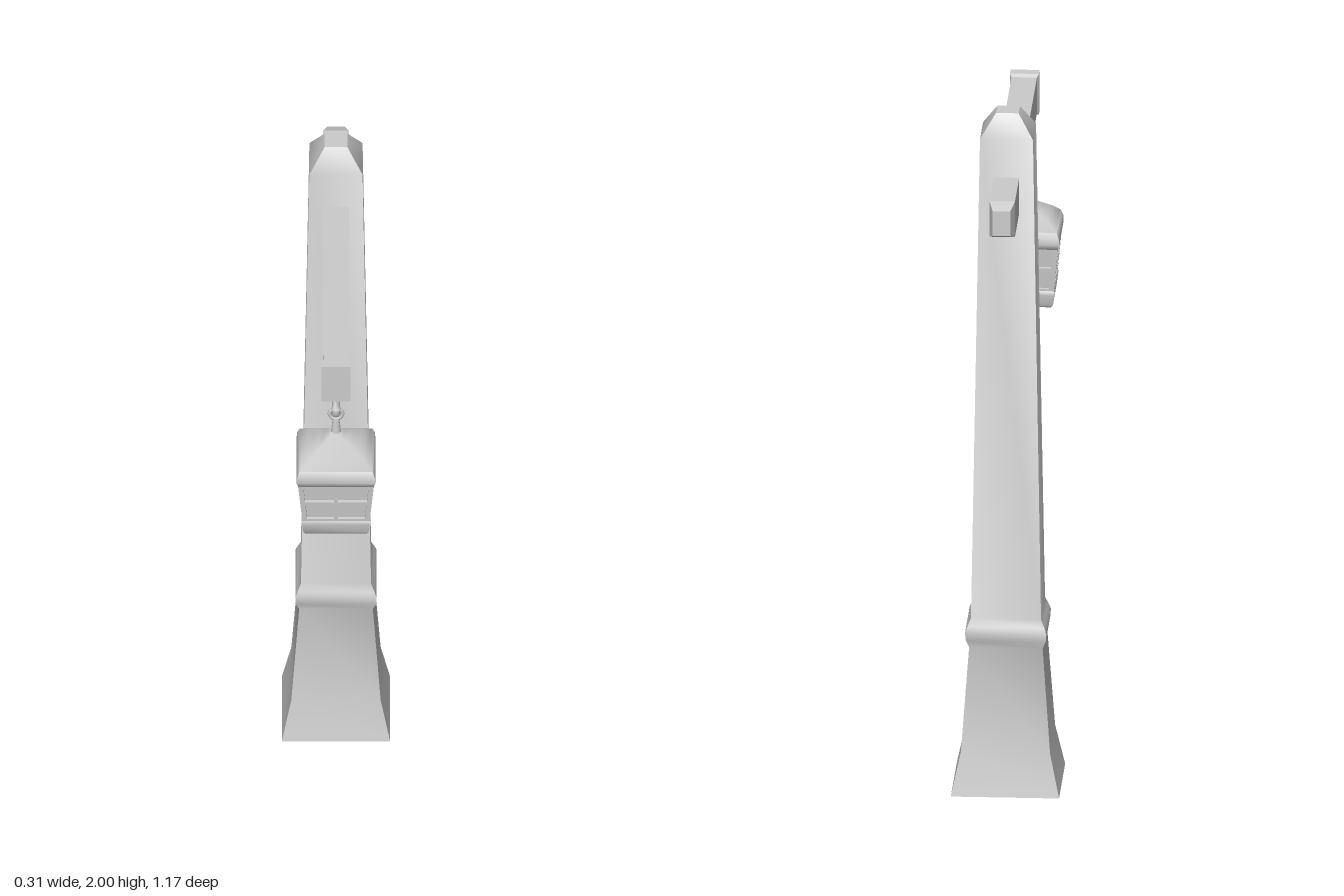
import * as THREE from 'three';
import { toCreasedNormals } from 'three/addons/utils/BufferGeometryUtils.js';

const material = new THREE.MeshStandardMaterial({ color: 0xcccccc });

// Square column from [halfWidth, height] pairs, bottom to top, capped at both ends.
function squareLoft(levels, crease = 0.6) {
  const pts = levels.map(([w, y]) => new THREE.Vector2(w * Math.SQRT2, y));
  pts.unshift(new THREE.Vector2(0, levels[0][1]));
  pts.push(new THREE.Vector2(0, levels[levels.length - 1][1]));
  return toCreasedNormals(new THREE.LatheGeometry(pts, 4, Math.PI / 4), crease);
}

function add(parent, name, geometry, x = 0, y = 0, z = 0) {
  const mesh = new THREE.Mesh(geometry, material);
  mesh.name = name;
  mesh.position.set(x, y, z);
  parent.add(mesh);
  return mesh;
}

const polygon = (Type, pts) => new Type(pts.map(([x, y]) => new THREE.Vector2(x, y)));

// Tapered window frame with two by two openings.
function windowFrameGeometry(height, bottom, top) {
  const halfAt = (y) => bottom + (top - bottom) * (y / height);
  const shape = polygon(THREE.Shape, [[-bottom, 0], [bottom, 0], [top, height], [-top, height]]);
  const bar = 0.005, edge = 0.014;
  for (const [y0, y1] of [[0.006, height / 2 - bar], [height / 2 + bar, height - 0.006]]) {
    for (const s of [-1, 1]) {
      shape.holes.push(polygon(THREE.Path, [
        [s * bar, y0], [s * (halfAt(y0) - edge), y0],
        [s * (halfAt(y1) - edge), y1], [s * bar, y1],
      ]));
    }
  }
  const g = new THREE.ExtrudeGeometry(shape, { depth: 0.01, bevelEnabled: false });
  g.translate(0, 0, -0.01);
  g.rotateX(Math.atan2(top - bottom, height));
  return g;
}

function createLantern() {
  const lantern = new THREE.Group();
  lantern.name = 'lantern';

  // Curved roof, recessed panes and base
  add(lantern, 'lanternRoof', squareLoft([
    [0.106, 1.378], [0.111, 1.395], [0.11, 1.412], [0.103, 1.43],
    [0.08, 1.45], [0.05, 1.47], [0.025, 1.487], [0.012, 1.5],
  ], 1.3));
  add(lantern, 'lanternPanes', squareLoft([[0.084, 1.24], [0.098, 1.39]]));
  add(lantern, 'lanternBase', squareLoft([
    [0.086, 1.202], [0.092, 1.21], [0.096, 1.24], [0.097, 1.25], [0.092, 1.258],
  ], 0.9));

  // One frame per side
  const frame = windowFrameGeometry(0.13, 0.095, 0.107);
  for (let i = 0; i < 4; i++) {
    const side = new THREE.Group();
    side.name = 'lanternSide';
    side.rotation.y = i * Math.PI / 2;
    add(side, 'windowFrame', frame, 0, 1.253, 0.095);
    lantern.add(side);
  }

  // Stem and hanging ring
  add(lantern, 'lanternStem', new THREE.CylinderGeometry(0.009, 0.016, 0.06, 10), 0, 1.515, 0);
  add(lantern, 'lanternRing', new THREE.TorusGeometry(0.018, 0.006, 8, 16), 0, 1.56, 0);
  return lantern;
}

export function createModel() {
  const model = new THREE.Group();
  model.name = 'lanternPost';

  // Tapering post with flared foot, collar and chamfered cap
  add(model, 'post', squareLoft([
    [0.153, 0], [0.126, 0.125], [0.104, 0.43], [0.113, 0.452], [0.115, 0.475],
    [0.109, 0.492], [0.099, 0.515], [0.075, 1.935], [0.032, 2],
  ]), 0, 0, -0.26);

  // Cross beam: tapered tail at the back, thicker block at the front
  const beam = squareLoft([
    [0.025, -0.585], [0.036, -0.545], [0.036, 0.54], [0.041, 0.55], [0.041, 0.585],
  ], 0.1);
  beam.rotateX(Math.PI / 2);
  beam.scale(1, 1.47, 1);
  add(model, 'beam', beam, 0, 1.77, 0);

  // Diagonal brace, drawn in the z-y plane
  const brace = new THREE.ExtrudeGeometry(
    polygon(THREE.Shape, [[-0.2, 1.35], [0.285, 1.717], [0.18, 1.717], [-0.2, 1.432]]),
    { depth: 0.046, bevelEnabled: false });
  brace.rotateY(-Math.PI / 2);
  add(model, 'brace', brace, 0.023, 0, 0);

  // Hook with pointed tip
  const hookPath = new THREE.CatmullRomCurve3([
    [1.73, 0.423], [1.66, 0.423], [1.595, 0.423], [1.575, 0.432],
    [1.569, 0.447], [1.578, 0.464], [1.6, 0.467],
  ].map(([y, z]) => new THREE.Vector3(0, y, z)));
  add(model, 'hook', new THREE.TubeGeometry(hookPath, 32, 0.0115, 8));
  add(model, 'hookTip', new THREE.ConeGeometry(0.014, 0.03, 8), 0, 1.61, 0.466);

  const lantern = createLantern();
  lantern.position.z = 0.44;
  model.add(lantern);
  return model;
}
